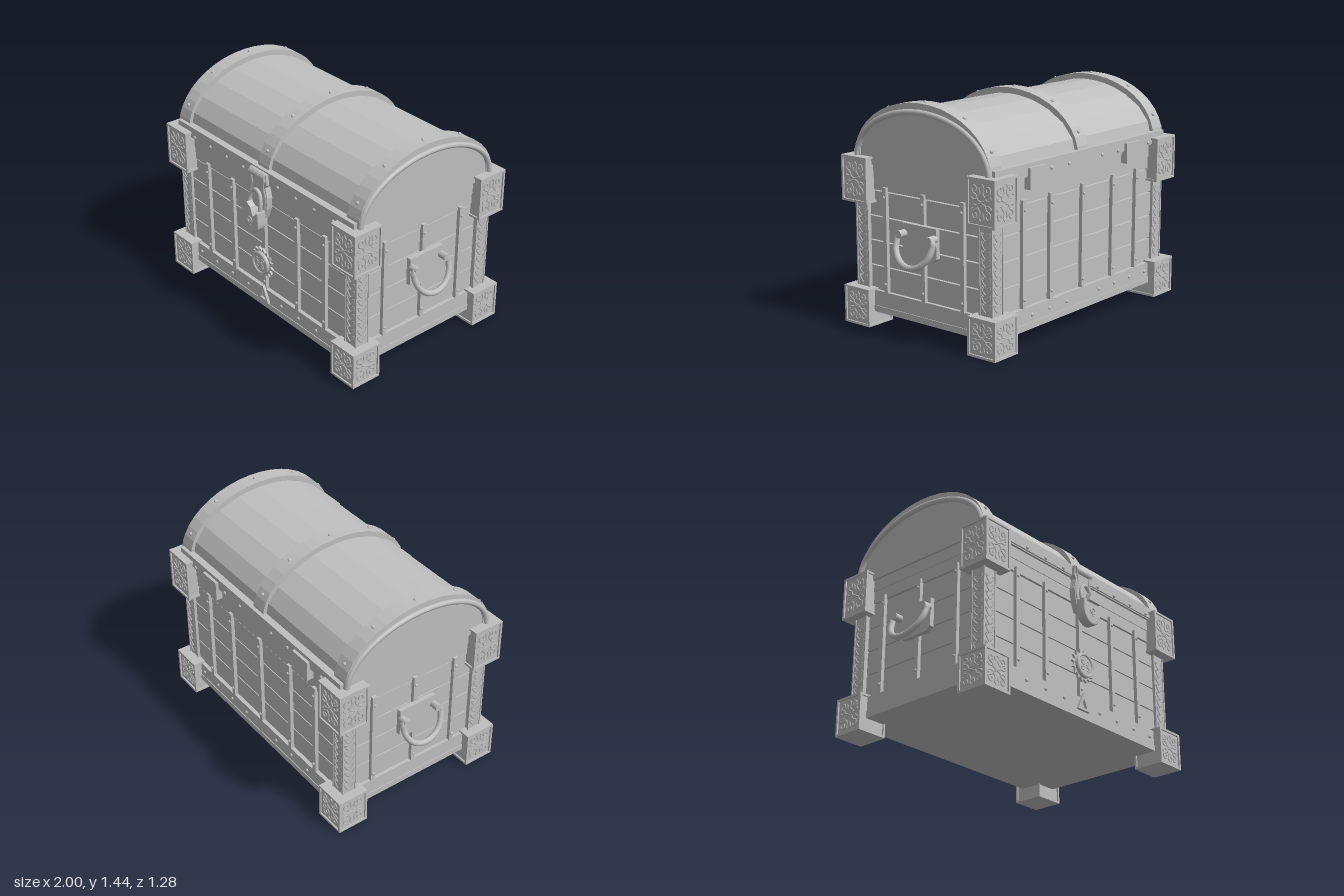
import * as THREE from 'three';

const metal = new THREE.MeshStandardMaterial({ color: 0xbfbfbf });
metal.name = 'plain grey';

export function createModel() {
  const root = new THREE.Group();
  root.name = 'treasureChest';
  const chest = new THREE.Group();
  chest.name = 'chest';
  chest.position.z = -0.03;
  root.add(chest);

  const add = (name, geo, parent, x = 0, y = 0, z = 0) => {
    const m = new THREE.Mesh(geo, metal);
    m.name = name;
    m.position.set(x, y, z);
    parent.add(m);
    return m;
  };
  const box = (name, parent, w, h, d, x, y, z) => add(name, new THREE.BoxGeometry(w, h, d), parent, x, y, z);
  // Outward facing frame on one wall: local x runs along the wall, local z points out
  const wall = (name, angle, dist) => {
    const g = new THREE.Group();
    g.name = name;
    g.rotation.y = angle;
    g.position.set(Math.sin(angle) * dist, 0, Math.cos(angle) * dist);
    chest.add(g);
    return g;
  };
  const stud = (parent, x, y, z, r = 0.012) => {
    const m = add('stud', new THREE.SphereGeometry(r, 8, 6), parent, x, y, z);
    m.scale.z = 0.8;
    return m;
  };
  const shapeOf = (pts) => new THREE.Shape(pts.map((p) => new THREE.Vector2(p[0], p[1])));
  const plate = (shape, depth, bevel = 0) => new THREE.ExtrudeGeometry(shape, {
    depth, curveSegments: 16, bevelEnabled: bevel > 0, bevelSize: bevel, bevelThickness: bevel, bevelSegments: 2,
  });
  const tube = (name, parent, pts, r, n = 14, sides = 5) => add(name, new THREE.TubeGeometry(
    new THREE.CatmullRomCurve3(pts.map((p) => new THREE.Vector3(p[0], p[1], p[2] || 0))), n, r, sides), parent);

  // Wall planks, stacked with open slits
  [[0.228, 0.378], [0.386, 0.536], [0.544, 0.691], [0.699, 0.851]].forEach(([a, b]) =>
    box('plankRow', chest, 1.68, b - a, 1.05, 0, (a + b) / 2, 0));
  box('upperRail', chest, 1.69, 0.08, 1.06, 0, 0.9, 0);
  box('upperRailTop', chest, 1.70, 0.08, 1.07, 0, 0.98, 0);
  box('rim', chest, 1.73, 0.045, 1.10, 0, 1.04, 0);
  // Base
  box('baseSkirt', chest, 1.73, 0.04, 1.11, 0, 0.11, 0);
  box('baseBand', chest, 1.72, 0.098, 1.10, 0, 0.178, 0);

  // Scroll carving of one quadrant
  const scroll = (parent, w, h, sx, sy, z) => {
    const pts = [[0.02, 0.03], [0.3, 0.12], [0.42, 0.32]];
    for (let i = 0; i <= 7; i++) {
      const t = i / 7, a = -0.5 + t * 5.2, r = 0.24 * (1 - 0.7 * t);
      pts.push([0.52 + r * Math.cos(a), 0.58 + r * Math.sin(a)]);
    }
    const put = (list) => list.map(([x, y]) => [sx * x * w, sy * y * h, z]);
    tube('scroll', parent, put(pts), 0.0055, 26, 4);
    tube('leaf', parent, put([[0.05, 0.85], [0.2, 0.72], [0.12, 0.45], [0.3, 0.25]]), 0.005, 10, 4);
    tube('leaf', parent, put([[0.4, 0.15], [0.62, 0.12], [0.82, 0.25], [0.7, 0.33]]), 0.005, 10, 4);
  };
  const frame = (w, h, t) => {
    const s = shapeOf([[-w, -h], [w, -h], [w, h], [-w, h]]);
    s.holes.push(new THREE.Path([[-w + t, -h + t], [-w + t, h - t], [w - t, h - t], [w - t, -h + t]]
      .map((p) => new THREE.Vector2(p[0], p[1]))));
    return plate(s, 0.01);
  };
  // Corner blocks and carved posts
  for (const sx of [-1, 1]) for (const sz of [-1, 1]) {
    for (const [y, h] of [[0.12, 0.12], [0.9225, 0.1425]]) {
      const corner = new THREE.Group();
      corner.name = 'cornerBlock';
      corner.position.set(sx * 0.82, y, sz * 0.505);
      chest.add(corner);
      box('block', corner, 0.19, h * 2, 0.19, 0, 0, 0);
      for (let k = 0; k < 4; k++) {
        const face = new THREE.Group();
        face.name = 'carvedFace';
        face.rotation.y = k * Math.PI / 2;
        corner.add(face);
        add('border', frame(0.105, h, 0.014), face, 0, 0, 0.095);
        const outer = k === (sz > 0 ? 0 : 2) || k === (sx > 0 ? 1 : 3);
        if (outer) for (const a of [-1, 1]) for (const b of [-1, 1]) scroll(face, 0.09, h - 0.016, a, b, 0.096);
      }
    }
    const post = new THREE.Group();
    post.name = 'cornerPost';
    post.position.set(sx * 0.82, 0.51, sz * 0.495);
    chest.add(post);
    box('postCore', post, 0.094, 0.56, 0.094, 0, 0, 0);
    for (const angle of [sz > 0 ? 0 : Math.PI, sx * Math.PI / 2]) {
      const face = new THREE.Group();
      face.name = 'carvedPostFace';
      face.rotation.y = angle;
      post.add(face);
      add('postBorder', frame(0.052, 0.28, 0.01), face, 0, 0, 0.042);
      for (let i = 0; i < 9; i++) for (const s of [-1, 1]) {
        const y = -0.225 + i * 0.053;
        tube('vineLeaf', face, [[0, y - 0.025, 0.047], [s * 0.02, y - 0.005, 0.049],
          [s * 0.035, y + 0.028, 0.047], [s * 0.014, y + 0.018, 0.047]], 0.005, 8, 4);
      }
    }
  }

  // Front and back straps, rivets
  const front = wall('frontWall', 0, 0.525), back = wall('backWall', Math.PI, 0.525);
  const bar = (parent, x, y0, y1) => {
    box('verticalBar', parent, 0.03, y1 - y0, 0.026, x, (y0 + y1) / 2, 0.011);
    for (const y of [y0 + 0.06, y1 - 0.06]) stud(parent, x, y, 0.026, 0.01);
  };
  for (const w of [front, back]) {
    for (const x of [-0.58, -0.32, 0, 0.32, 0.58]) bar(w, x, 0.22, 0.885);
    box('lidBand', w, 1.72, 0.075, 0.045, 0, 1.062, 0.012);
    for (const s of [-1, 1]) for (let i = 0; i < 4; i++) {
      const x = s * (0.17 + i * 0.17);
      stud(w, x, 0.175, 0.026);
      stud(w, x, 1.04, 0.036);
    }
  }
  for (const x of [-0.49, 0.49]) box('hinge', back, 0.15, 0.13, 0.06, x, 1.01, 0.024);

  // Side straps and drop handles
  for (const s of [-1, 1]) {
    const w = wall(s > 0 ? 'leftWall' : 'rightWall', s * Math.PI / 2, 0.84);
    for (const x of [-0.31, 0, 0.31]) bar(w, x, 0.22, 0.885);
    const p = shapeOf([[-0.135, 0.705], [-0.135, 0.52], [-0.1, 0.495], [0.1, 0.495], [0.135, 0.52], [0.135, 0.705]]);
    add('handlePlate', plate(p, 0.03), w, 0, 0, 0.02);
    for (const x of [-0.12, 0.12]) {
      const boss = add('handleBoss', new THREE.CylinderGeometry(0.024, 0.024, 0.06, 14), w, x, 0.642, 0.075);
      boss.rotation.x = Math.PI / 2;
    }
    const pts = [[-0.12, 0.642, 0.085], [-0.142, 0.63, 0.089]];
    for (let i = 0; i <= 10; i++) {
      const a = Math.PI * (1 + i / 10), dy = Math.sin(a);
      pts.push([Math.cos(a) * 0.142, 0.6 + dy * 0.135, 0.094 - dy * 0.047]);
    }
    pts.push([0.142, 0.63, 0.089], [0.12, 0.642, 0.085]);
    tube('dropHandle', w, pts, 0.019, 40, 10);
  }

  // Barrel lid, swept along x
  const arc = (a, b, n, y0 = 1.06) => Array.from({ length: n + 1 }, (_, i) => {
    const t = Math.PI * i / n;
    return [a * Math.cos(t), y0 + b * Math.sin(t)];
  });
  const across = (name, pts, width, x) => {
    const m = add(name, plate(shapeOf(pts), width), chest, x + width / 2, 0, 0);
    m.rotation.y = -Math.PI / 2;
    return m;
  };
  across('lidPlanks', arc(0.522, 0.33, 10), 1.7, 0);
  for (const x of [-0.82, 0, 0.82]) {
    across('lidStrap', [...arc(0.54, 0.372, 20), ...arc(0.5, 0.335, 20).reverse()], 0.105, x);
    for (const z of [-0.5, -0.3, 0, 0.3, 0.5]) {
      const y = 1.06 + 0.372 * Math.sqrt(1 - (z / 0.54) ** 2);
      add('strapStud', new THREE.SphereGeometry(0.012, 8, 6), chest, x, y, z);
    }
  }
  for (const s of [-1, 1]) {
    across('lidEndPanel', arc(0.52, 0.318, 32), 0.03, s * 0.85);
    tube('lidEndRim', chest, arc(0.522, 0.316, 24).map(([z, y]) => [s * 0.872, y, z]), 0.018, 48, 8);
  }

  // Hasp and padlock
  const lock = new THREE.Group();
  lock.name = 'lock';
  front.add(lock);
  const hasp = shapeOf([[-0.08, 1.09], [-0.085, 1.02], [-0.07, 1.0], [-0.088, 0.93], [-0.08, 0.85], [-0.055, 0.78],
    [0.055, 0.78], [0.08, 0.85], [0.088, 0.93], [0.07, 1.0], [0.085, 1.02], [0.08, 1.09]]);
  add('haspPlate', plate(hasp, 0.04), lock, 0, 0, 0.015);
  tube('haspTrim', lock, [[-0.07, 1.075, 0.056], [-0.055, 1.0, 0.056], [-0.074, 0.92, 0.056], [-0.05, 0.8, 0.056]], 0.008, 20);
  tube('haspTrim', lock, [[0.07, 1.075, 0.056], [0.055, 1.0, 0.056], [0.074, 0.92, 0.056], [0.05, 0.8, 0.056]], 0.008, 20);
  const knuckle = add('haspKnuckle', new THREE.CylinderGeometry(0.026, 0.026, 0.15, 12), lock, 0, 1.065, 0.045);
  knuckle.rotation.z = Math.PI / 2;
  const body = new THREE.Shape();
  body.moveTo(-0.07, 0.835);
  body.lineTo(-0.07, 0.765);
  body.absarc(0, 0.765, 0.07, Math.PI, Math.PI * 2);
  body.lineTo(0.07, 0.835);
  add('padlockBody', plate(body, 0.05, 0.008), lock, 0, 0, 0.066);
  add('keyholePlate', new THREE.TorusGeometry(0.02, 0.006, 6, 14), lock, 0, 0.775, 0.124);
  box('keySlot', lock, 0.01, 0.035, 0.008, 0, 0.755, 0.125);
  tube('shackle', lock, [[-0.05, 0.82, 0.09], [-0.055, 0.89, 0.08], [-0.03, 0.95, 0.07], [0, 0.967, 0.07],
    [0.03, 0.95, 0.07], [0.055, 0.89, 0.08], [0.05, 0.82, 0.09]], 0.013, 30, 8);
  const clasp = shapeOf([[-0.055, 0.83], [0.055, 0.83], [0.035, 0.885], [0, 0.91], [-0.035, 0.885]]);
  add('clasp', plate(clasp, 0.04), lock, 0, 0, 0.105);

  // Toothed medallion
  const medal = new THREE.Group();
  medal.name = 'medallion';
  medal.position.set(0, 0.43, 0.025);
  front.add(medal);
  const teeth = [];
  for (let i = 0; i < 16; i++) {
    const a = i * Math.PI / 8;
    teeth.push([0.082 * Math.cos(a), 0.082 * Math.sin(a)], [0.106 * Math.cos(a + 0.3), 0.106 * Math.sin(a + 0.3)]);
  }
  add('toothedRim', plate(shapeOf(teeth), 0.014), medal, 0, 0, 0.002);
  const disc = add('disc', new THREE.CylinderGeometry(0.075, 0.08, 0.02, 28), medal, 0, 0, 0.02);
  disc.rotation.x = Math.PI / 2;
  add('discRing', new THREE.TorusGeometry(0.07, 0.009, 6, 28), medal, 0, 0, 0.03);
  for (const a of [-1, 1]) for (const b of [-1, 1]) tube('discScroll', medal,
    [[0.006 * a, 0.005 * b, 0.03], [0.03 * a, 0.01 * b, 0.03], [0.035 * a, 0.03 * b, 0.03], [0.015 * a, 0.03 * b, 0.03]], 0.005, 10, 4);

  // Triangular end piece on the base band
  const tri = shapeOf([[-0.055, 0.14], [0.055, 0.14], [0, 0.255]]);
  tri.holes.push(new THREE.Path([[-0.028, 0.156], [0, 0.215], [0.028, 0.156]].map((p) => new THREE.Vector2(p[0], p[1]))));
  add('triangleTip', plate(tri, 0.018), front, 0, 0, 0.024);

  return root;
}
